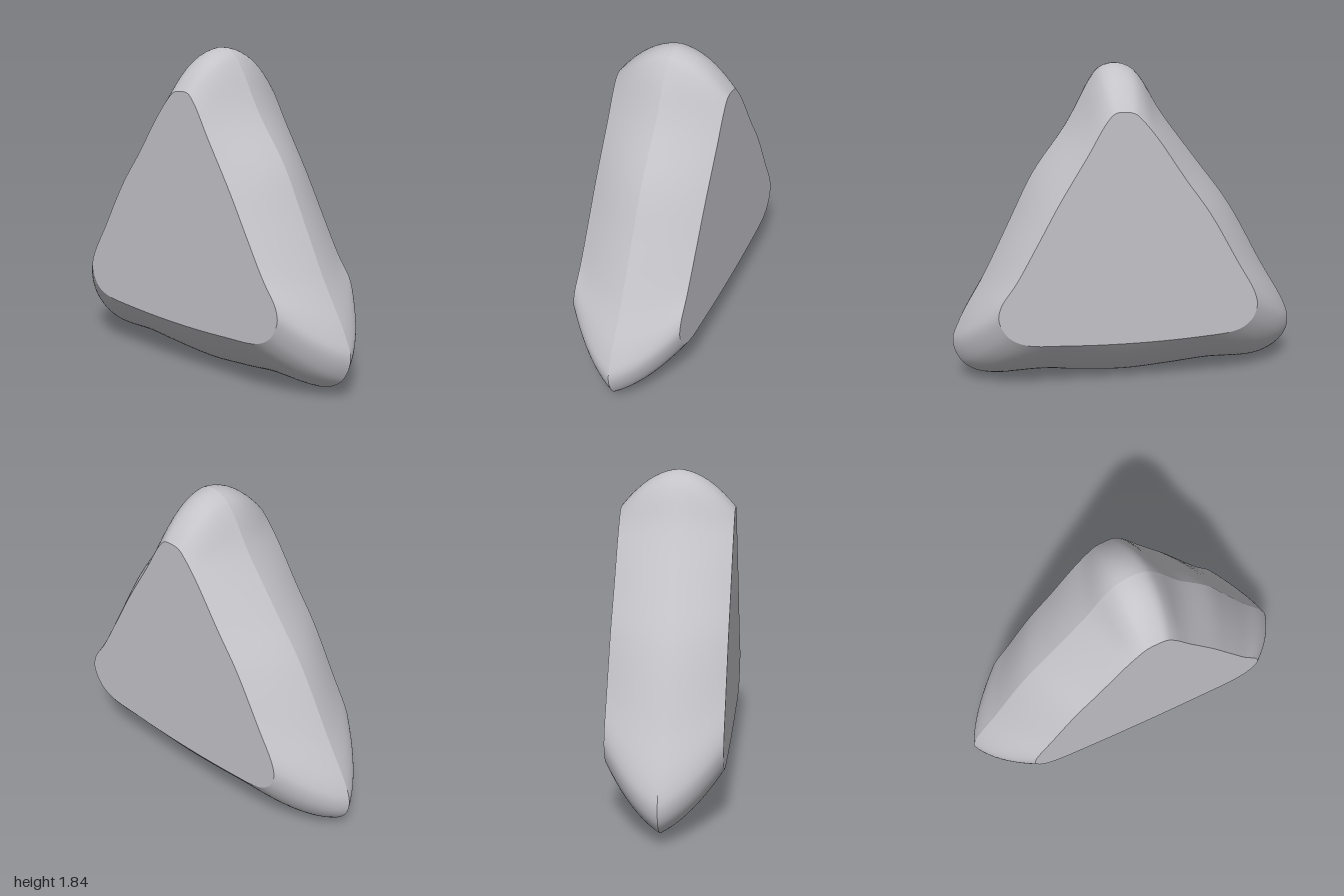
import * as THREE from 'three';

const HALF_DEPTH = 0.32, RINGS = 10, PER_SPAN = 6;

// Matching points of the middle ridge and the flat face: ridge x, y, face x, y
const OUTLINE = [
  [0.05, 1.835, 0.05, 1.625], [0.13, 1.815, 0.10, 1.62], [0.195, 1.74, 0.145, 1.575],
  [0.33, 1.5, 0.25, 1.395], [0.52, 1.23, 0.41, 1.13], [0.66, 0.95, 0.53, 0.91],
  [0.81, 0.645, 0.65, 0.695], [0.96, 0.375, 0.74, 0.56], [1.0, 0.25, 0.755, 0.48],
  [0.955, 0.125, 0.715, 0.39], [0.87, 0.06, 0.66, 0.345], [0.76, 0.035, 0.58, 0.318],
  [0.49, 0.037, 0.39, 0.305], [0.25, 0.015, 0.2, 0.296], [0, 0, 0, 0.293],
  [-0.26, 0.015, -0.2, 0.296], [-0.5, 0.035, -0.39, 0.305], [-0.78, 0.037, -0.56, 0.32],
  [-0.9, 0.08, -0.635, 0.345], [-0.98, 0.16, -0.69, 0.395], [-1.0, 0.25, -0.715, 0.47],
  [-0.97, 0.355, -0.7, 0.55], [-0.82, 0.62, -0.59, 0.75], [-0.61, 1.0, -0.43, 1.035],
  [-0.42, 1.26, -0.29, 1.235], [-0.205, 1.555, -0.13, 1.475], [-0.09, 1.75, -0.045, 1.58],
  [-0.03, 1.81, -0.005, 1.615],
];

// Smooth closed loop through one pair of columns
function loop(column) {
  const curve = new THREE.CatmullRomCurve3(
    OUTLINE.map((p) => new THREE.Vector3(p[column], p[column + 1], 0)), true);
  const n = OUTLINE.length * PER_SPAN;
  return Array.from({ length: n }, (_, i) => curve.getPoint(i / n));
}

function geometryFrom(positions, index, side) {
  if (side < 0) index.reverse();
  const g = new THREE.BufferGeometry();
  g.setAttribute('position', new THREE.Float32BufferAttribute(positions, 3));
  g.setIndex(index);
  g.computeVertexNormals();
  return g;
}

// Convex sloping band from the ridge to one face
function bevelGeometry(outer, inner, side) {
  const n = outer.length, positions = [], index = [];
  for (let k = 0; k <= RINGS; k++) {
    const t = k / RINGS;
    for (let j = 0; j < n; j++) {
      // The ridge softens towards the top tip
      const a = 0.5 - 0.4 * THREE.MathUtils.smoothstep(outer[j].y, 1.6, 1.8);
      const p = outer[j].clone().lerp(inner[j], a * t + (1 - a) * t * t);
      positions.push(p.x, p.y, side * HALF_DEPTH * t);
    }
  }
  for (let k = 0; k < RINGS; k++) {
    for (let j = 0; j < n; j++) {
      const a = k * n + j, b = k * n + (j + 1) % n;
      index.push(a, a + n, b, b, a + n, b + n);
    }
  }
  return geometryFrom(positions, index, side);
}

// Flat face as a fan around its middle
function faceGeometry(inner, side) {
  const n = inner.length, positions = [0, 0.75, side * HALF_DEPTH], index = [];
  inner.forEach((p, j) => {
    positions.push(p.x, p.y, side * HALF_DEPTH);
    index.push(0, 1 + (j + 1) % n, 1 + j);
  });
  return geometryFrom(positions, index, side);
}

export function createModel() {
  const group = new THREE.Group();
  group.name = 'roundedTriangle';
  const lightGrey = new THREE.MeshStandardMaterial({ color: 0xc4c3c8 });
  lightGrey.name = 'lightGrey';
  const outer = loop(0), inner = loop(2);

  for (const [label, side] of [['front', 1], ['back', -1]]) {
    const bevel = new THREE.Mesh(bevelGeometry(outer, inner, side), lightGrey);
    bevel.name = label + 'Bevel';
    const face = new THREE.Mesh(faceGeometry(inner, side), lightGrey);
    face.name = label + 'Face';
    group.add(bevel, face);
  }
  return group;
}
